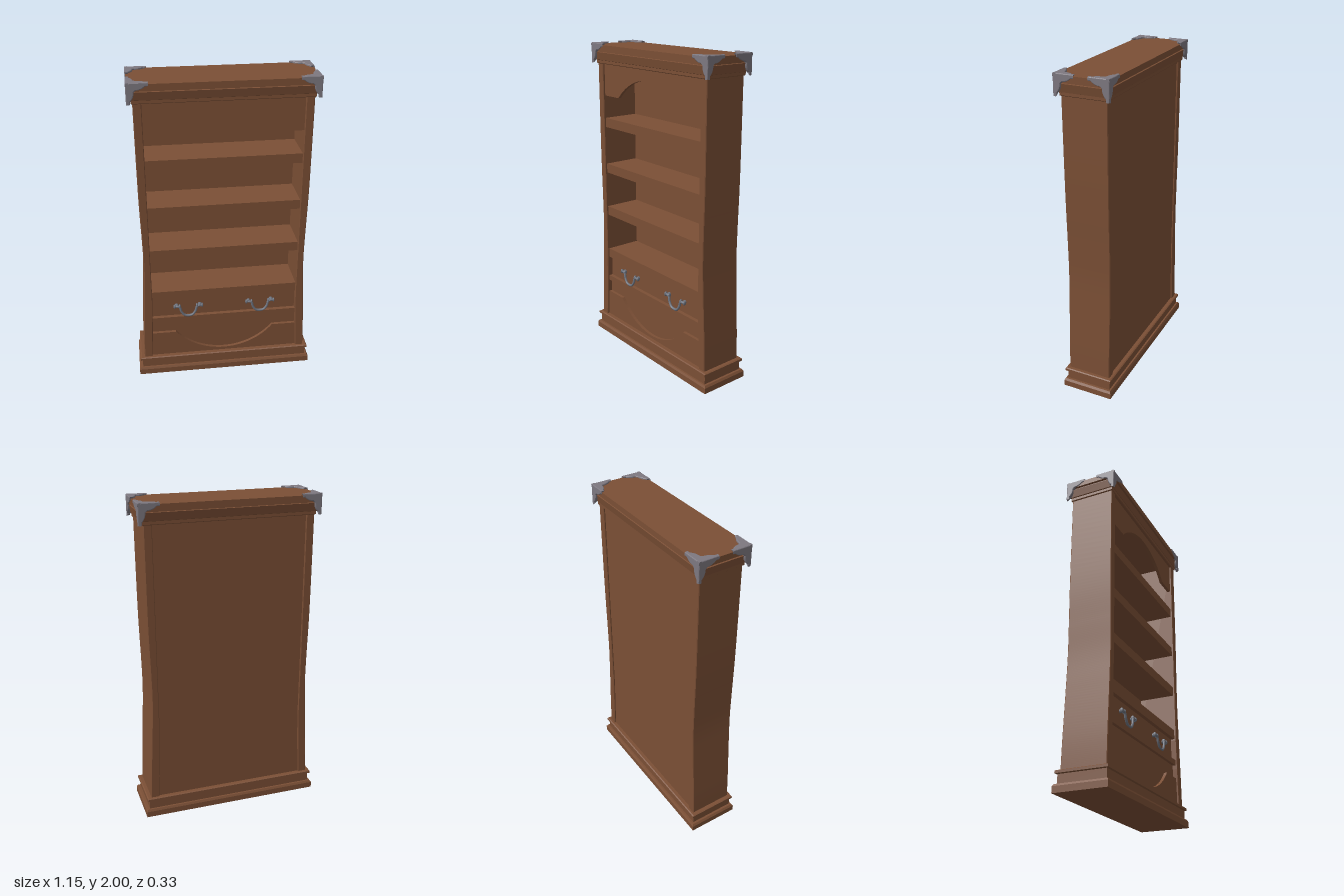
import * as THREE from 'three';

const wood = new THREE.MeshStandardMaterial({ color: 0x7b4f35 });
wood.name = 'brown wood';
const metal = new THREE.MeshStandardMaterial({ color: 0x7d7880 });
metal.name = 'grey metal';
const steel = new THREE.MeshStandardMaterial({ color: 0x6e737e });
steel.name = 'handle steel';

function add(parent, name, geometry, material, x = 0, y = 0, z = 0) {
  const mesh = new THREE.Mesh(geometry, material);
  mesh.name = name;
  mesh.position.set(x, y, z);
  parent.add(mesh);
  return mesh;
}

// Stacked rectangular sections [half width, half depth, height], closed at both ends
function moulding(sections) {
  const pos = [];
  const ring = ([x, z, y]) => [[x, y, z], [x, y, -z], [-x, y, -z], [-x, y, z]];
  const quad = (a, b, c, d) => pos.push(...a, ...b, ...c, ...a, ...c, ...d);
  for (let i = 0; i < sections.length - 1; i++) {
    const lo = ring(sections[i]), hi = ring(sections[i + 1]);
    for (let k = 0; k < 4; k++) {
      const n = (k + 1) % 4;
      quad(lo[k], lo[n], hi[n], hi[k]);
    }
  }
  const bottom = ring(sections[0]), top = ring(sections[sections.length - 1]);
  quad(...bottom.reverse());
  quad(...top);
  const g = new THREE.BufferGeometry();
  g.setAttribute('position', new THREE.Float32BufferAttribute(pos, 3));
  g.computeVertexNormals();
  return g;
}

function box(parent, name, halfWidth, y0, y1, z0, z1) {
  return add(parent, name, new THREE.BoxGeometry(halfWidth * 2, y1 - y0, z1 - z0), wood,
    0, (y0 + y1) / 2, (z0 + z1) / 2);
}

// Upright side with a gently waisted outer edge
function sideGeometry() {
  const s = new THREE.Shape();
  s.moveTo(0.484, 0.12);
  s.lineTo(0.536, 0.12);
  s.splineThru([[0.53, 0.3], [0.514, 0.6], [0.506, 0.8], [0.508, 1.0], [0.514, 1.3], [0.515, 1.88]]
    .map(p => new THREE.Vector2(...p)));
  s.lineTo(0.465, 1.88);
  s.lineTo(0.465, 0.55);
  s.lineTo(0.472, 0.36);
  s.closePath();
  const b = 0.004;
  const g = new THREE.ExtrudeGeometry(s, {
    depth: 0.276 - 2 * b, bevelThickness: b, bevelSize: b, bevelOffset: -b, bevelSegments: 1, curveSegments: 16,
  });
  g.translate(0, 0, -0.138 + b);
  return g;
}

// Front panel whose free edge steps into a circular arc, at the given heights
function archGeometry(flat, edge, crown, halfWidth) {
  const s = new THREE.Shape();
  s.moveTo(-halfWidth, flat);
  s.lineTo(-halfWidth, edge);
  const steps = 28, w = 0.32, rise = crown - edge;
  const r = (w * w + rise * rise) / (2 * Math.abs(rise)), a = Math.asin(w / r);
  for (let i = 0; i <= steps; i++) {
    const t = -a + 2 * a * i / steps;
    s.lineTo(r * Math.sin(t), edge + Math.sign(rise) * r * (Math.cos(t) - Math.cos(a)));
  }
  s.lineTo(halfWidth, edge);
  s.lineTo(halfWidth, flat);
  s.closePath();
  return new THREE.ExtrudeGeometry(s, { depth: 0.02, bevelEnabled: false });
}

// One scalloped leaf of a corner bracket, corner at the origin
function bracketLeaf() {
  const s = new THREE.Shape();
  s.moveTo(0, 0);
  s.lineTo(0.125, 0);
  s.quadraticCurveTo(0.1, 0.044, 0.055, 0.045);
  s.lineTo(0.045, 0.055);
  s.quadraticCurveTo(0.044, 0.1, 0, 0.125);
  s.closePath();
  const b = 0.006;
  const g = new THREE.ExtrudeGeometry(s, {
    depth: 0.01, bevelThickness: b, bevelSize: b, bevelOffset: -b, bevelSegments: 3, curveSegments: 10,
  });
  g.translate(0, 0, b);
  return g;
}

function makeHandle() {
  const g = new THREE.Group();
  g.name = 'drawerHandle';
  // Swinging bail
  const pts = [[-0.092, 0.496, 0.118], [-0.058, 0.492, 0.122], [-0.046, 0.458, 0.124], [-0.026, 0.432, 0.125],
    [0, 0.426, 0.125], [0.026, 0.432, 0.125], [0.046, 0.458, 0.124], [0.058, 0.492, 0.122], [0.092, 0.496, 0.118]];
  const curve = new THREE.CatmullRomCurve3(pts.map(p => new THREE.Vector3(...p)));
  add(g, 'bail', new THREE.TubeGeometry(curve, 48, 0.008, 8), steel);
  // Posts and end knobs
  for (const s of [-1, 1]) {
    const post = add(g, 'post', new THREE.CylinderGeometry(0.009, 0.012, 0.026, 12), steel, s * 0.075, 0.496, 0.11);
    post.rotation.x = Math.PI / 2;
    for (const x of [0.09, 0.056]) {
      const knob = add(g, 'knob', new THREE.SphereGeometry(0.012, 12, 8), steel, s * x, 0.496, 0.119);
      knob.scale.set(0.6, 1.25, 1);
    }
  }
  return g;
}

export function createModel() {
  const model = new THREE.Group();
  model.name = 'bookcase';

  // Stepped plinth and cornice
  add(model, 'plinth', moulding([[0.573, 0.163, 0], [0.573, 0.163, 0.037], [0.564, 0.156, 0.05], [0.55, 0.145, 0.05],
    [0.55, 0.145, 0.105], [0.562, 0.157, 0.108], [0.562, 0.157, 0.122], [0.555, 0.15, 0.126]]), wood);
  add(model, 'cornice', moulding([[0.517, 0.139, 1.872], [0.522, 0.143, 1.876], [0.522, 0.143, 1.893],
    [0.528, 0.146, 1.895], [0.538, 0.156, 1.943], [0.53, 0.148, 1.945], [0.53, 0.148, 1.954],
    [0.543, 0.162, 1.956], [0.543, 0.162, 1.99]]), wood);

  // Waisted sides
  const side = sideGeometry();
  for (const s of [-1, 1]) add(model, s > 0 ? 'leftSide' : 'rightSide', side, wood).scale.x = s;

  // Back panel and shelves
  box(model, 'backPanel', 0.485, 0.12, 1.88, -0.128, -0.11);
  for (const y of [1.525, 1.22, 0.925, 0.62]) box(model, 'shelf', 0.47, y - 0.06, y, -0.11, 0.125);

  // Drawer, rail and apron
  box(model, 'drawerFront', 0.475, 0.42, 0.565, 0.08, 0.1);
  box(model, 'drawerRail', 0.478, 0.385, 0.42, -0.11, 0.125);
  box(model, 'apronBacking', 0.485, 0.12, 0.39, 0.08, 0.105);
  add(model, 'apron', archGeometry(0.12, 0.3, 0.145, 0.485), wood, 0, 0, 0.105);
  add(model, 'topArch', archGeometry(1.88, 1.67, 1.81, 0.47), wood, 0, 0, 0.105);

  // Drawer handles
  for (const s of [-1, 1]) {
    const handle = makeHandle();
    handle.position.x = s * 0.235;
    model.add(handle);
  }

  // Corner brackets: three leaves folded around each top corner
  const leaf = bracketLeaf();
  const X = new THREE.Vector3(-1, 0, 0), Y = new THREE.Vector3(0, -1, 0), Z = new THREE.Vector3(0, 0, -1);
  const leaves = [[X, Z, Y], [Y, X, Z], [Z, Y, X]].map(axes =>
    leaf.clone().applyMatrix4(new THREE.Matrix4().makeBasis(...axes)));
  for (const sx of [-1, 1]) for (const sz of [-1, 1]) {
    const bracket = new THREE.Group();
    bracket.name = 'cornerBracket';
    leaves.forEach((g, i) => add(bracket, ['topLeaf', 'faceLeaf', 'endLeaf'][i], g, metal));
    bracket.position.set(sx * 0.548, 2, sz * 0.166);
    bracket.scale.set(sx, 1, sz);
    model.add(bracket);
  }
  return model;
}
